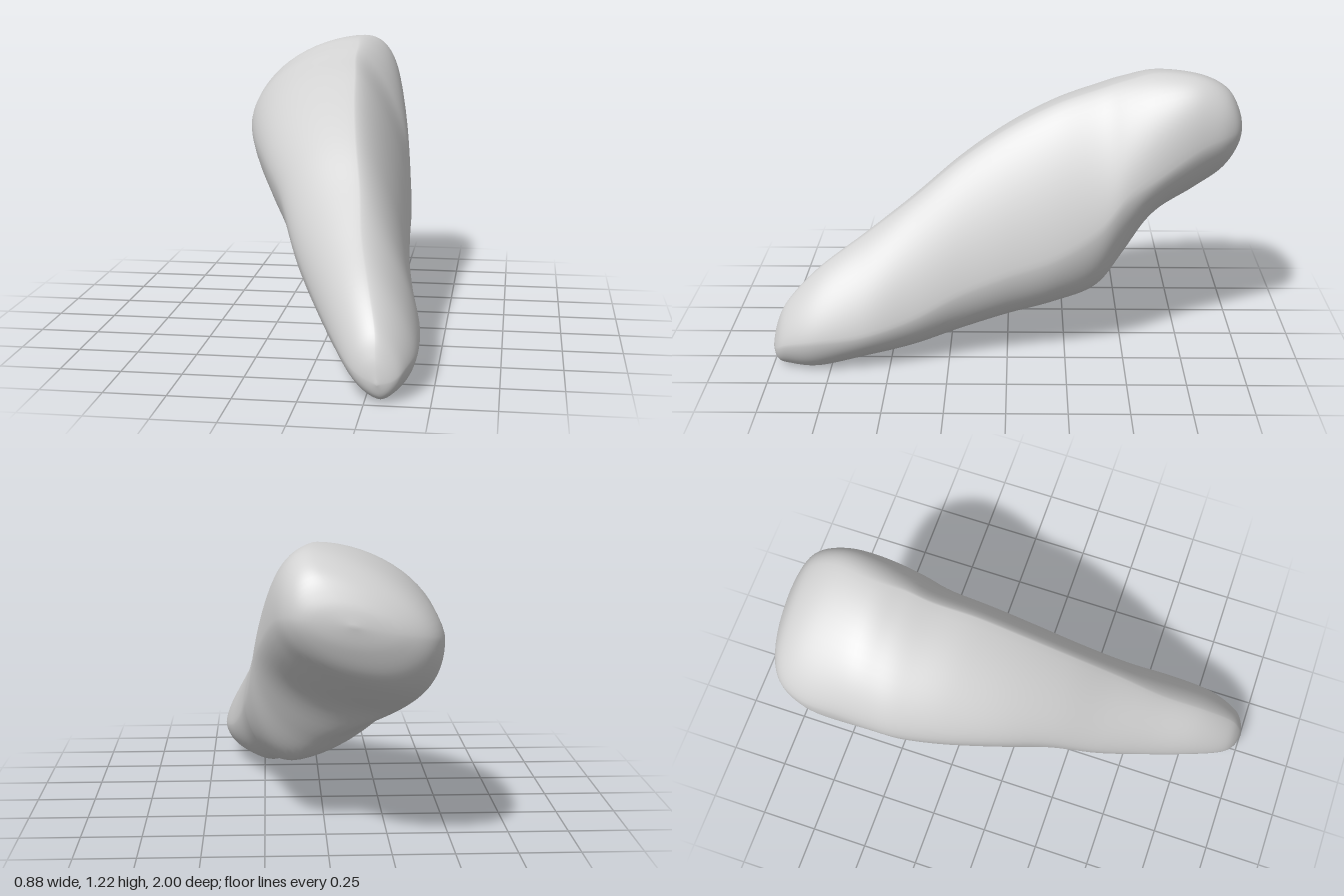
import * as THREE from 'three';
import { mergeVertices } from 'three/addons/utils/BufferGeometryUtils.js';

// Cross-sections from the front tip to the rounded back:
// z, left x y, top x y, right x y, bottom x y
const sections = [
  [1.0, 0.30, 0.08, 0.30, 0.08, 0.30, 0.08, 0.30, 0.08],
  [0.98, 0.23, 0.11, 0.29, 0.18, 0.36, 0.09, 0.31, 0.025],
  [0.93, 0.17, 0.15, 0.28, 0.28, 0.40, 0.12, 0.31, 0.005],
  [0.8, 0.09, 0.23, 0.24, 0.41, 0.435, 0.15, 0.32, 0],
  [0.6, -0.01, 0.33, 0.19, 0.55, 0.43, 0.18, 0.27, 0.03],
  [0.4, -0.11, 0.46, 0.16, 0.70, 0.39, 0.24, 0.22, 0.06],
  [0.2, -0.20, 0.62, 0.12, 0.86, 0.355, 0.34, 0.19, 0.12],
  [0, -0.30, 0.72, 0.09, 0.99, 0.34, 0.42, 0.17, 0.18],
  [-0.2, -0.38, 0.78, 0.07, 1.09, 0.33, 0.49, 0.15, 0.23],
  [-0.38, -0.43, 0.82, 0.05, 1.15, 0.31, 0.60, 0.11, 0.29],
  [-0.5, -0.44, 0.84, 0.05, 1.19, 0.29, 0.74, 0.0, 0.41],
  [-0.63, -0.44, 0.86, 0.04, 1.22, 0.265, 0.83, -0.22, 0.54],
  [-0.8, -0.435, 0.87, 0.06, 1.21, 0.22, 0.94, -0.25, 0.64],
  [-0.92, -0.38, 0.89, 0.04, 1.15, 0.17, 0.98, -0.20, 0.74],
  [-0.98, -0.26, 0.92, -0.02, 1.05, 0.09, 0.98, -0.14, 0.86],
  [-1.0, -0.08, 0.96, -0.08, 0.96, -0.08, 0.96, -0.08, 0.96],
];

// Roundness of each quarter of the outline: 2 is an ellipse, 1 a straight line
const frontRoundness = [1.95, 1.45, 1.75, 1.6];
const backRoundness = [1.65, 2.2, 1.8, 2.2];

// Smooth blend of the sections at t
function sectionAt(t) {
  const last = sections.length - 1;
  const i = Math.min(Math.floor(t), last - 1);
  const f = t - i;
  const row = (k) => sections[Math.max(0, Math.min(last, k))];
  return sections[0].map((_, c) => {
    const a = row(i - 1)[c], b = row(i)[c], d = row(i + 1)[c], e = row(i + 2)[c];
    const m0 = (d - a) / 2, m1 = (e - b) / 2;
    const f2 = f * f, f3 = f2 * f;
    return (2 * f3 - 3 * f2 + 1) * b + (f3 - 2 * f2 + f) * m0 + (3 * f2 - 2 * f3) * d + (f3 - f2) * m1;
  });
}

// Closed outline through left, top, right and bottom, one curved quarter at a time
function outlinePoint(s, u) {
  const q = Math.floor(u);
  const angle = (u - q) * Math.PI / 2;
  const p = [s[1 + 2 * q], s[2 + 2 * q]];
  const n = (q + 1) % 4;
  const r = [s[1 + 2 * n], s[2 + 2 * n]];
  const backness = THREE.MathUtils.smoothstep(-s[0], 0.42, 0.82);
  const power = 2 / THREE.MathUtils.lerp(frontRoundness[q], backRoundness[q], backness);
  const c = Math.pow(Math.cos(angle), power);
  const d = Math.pow(Math.sin(angle), power);
  // The sides are vertical and the top and bottom level at the quarter ends
  return q % 2 === 0
    ? [r[0] + (p[0] - r[0]) * c, p[1] + (r[1] - p[1]) * d]
    : [p[0] + (r[0] - p[0]) * d, r[1] + (p[1] - r[1]) * c];
}

function bodyGeometry() {
  const rings = 90, around = 64;
  const positions = [], index = [];
  for (let i = 0; i <= rings; i++) {
    const s = sectionAt(i / rings * (sections.length - 1));
    for (let j = 0; j < around; j++) {
      const [x, y] = outlinePoint(s, j / around * 4);
      positions.push(x, Math.max(0, y), s[0]);
    }
  }
  // The first and last rings are single points, so each needs one triangle per side
  for (let i = 0; i < rings; i++) {
    for (let j = 0; j < around; j++) {
      const k = (j + 1) % around;
      const a = i * around + j, b = a + around;
      const c = i * around + k, d = c + around;
      if (i > 0) index.push(a, c, b);
      if (i < rings - 1) index.push(c, d, b);
    }
  }
  const geometry = new THREE.BufferGeometry();
  geometry.setAttribute('position', new THREE.Float32BufferAttribute(positions, 3));
  geometry.setIndex(index);
  const welded = mergeVertices(geometry, 1e-5);
  welded.computeVertexNormals();
  return welded;
}

export function createModel() {
  const group = new THREE.Group();
  group.name = 'taperedStone';
  const grey = new THREE.MeshStandardMaterial({ color: 0xd2d2d2 });
  grey.name = 'grey';
  const body = new THREE.Mesh(bodyGeometry(), grey);
  body.name = 'body';
  group.add(body);
  return group;
}
